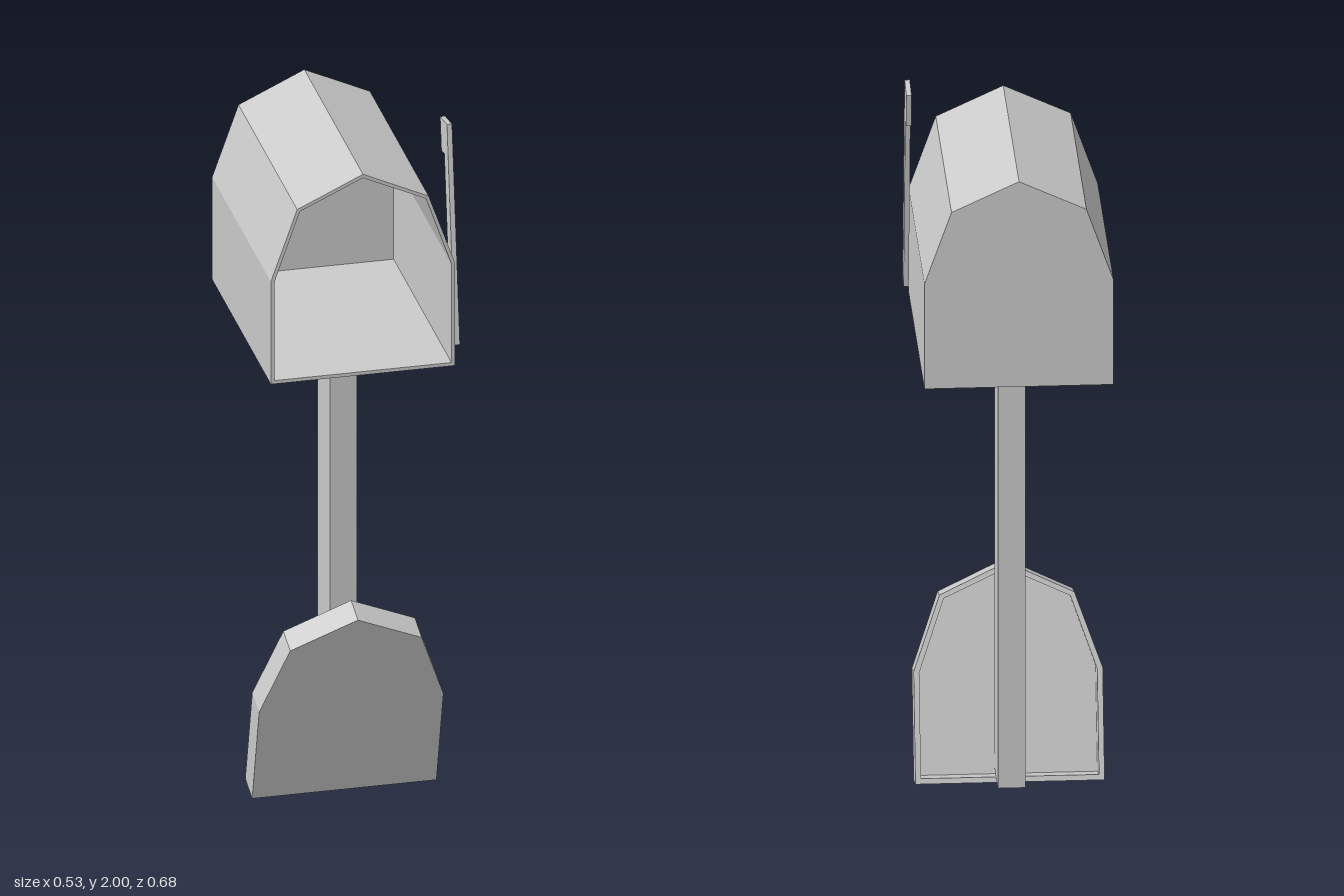
import * as THREE from 'three';
import { mergeGeometries } from 'three/addons/utils/BufferGeometryUtils.js';

const CENTER_X = -0.01;

// Arched mailbox outline standing on y = 0, inset by t
function outline(t, PathType) {
  const half = [
    [0.255 - t, t],
    [0.255 - t, 0.305 - 0.2 * t],
    [0.182 - 0.75 * t, 0.512 - 0.65 * t],
  ];
  const points = [
    ...half,
    [0, 0.597 - 1.1 * t],
    ...half.map(([x, y]) => [-x, y]).reverse(),
  ];
  return new PathType(points.map(([x, y]) => new THREE.Vector2(x, y)));
}

function extrude(shape, depth) {
  return new THREE.ExtrudeGeometry(shape, { depth, bevelEnabled: false });
}

// Hollow shell: closed at z = 0, open at z = depth
function shell(depth, wall, plate) {
  const ring = outline(0, THREE.Shape);
  ring.holes.push(outline(wall, THREE.Path));
  const walls = extrude(ring, depth - plate).translate(0, 0, plate);
  const end = extrude(outline(0, THREE.Shape), plate);
  return mergeGeometries([walls, end]);
}

export function createModel() {
  const model = new THREE.Group();
  model.name = 'mailbox';
  const material = new THREE.MeshStandardMaterial({ color: 0xcccccc, flatShading: true });

  function add(name, geometry, x, y, z) {
    const mesh = new THREE.Mesh(geometry, material);
    mesh.name = name;
    mesh.position.set(x, y, z);
    model.add(mesh);
    return mesh;
  }

  // Box, open at the front
  add('boxShell', shell(0.68, 0.01, 0.01), CENTER_X, 1.334, -0.34);

  // Post
  add('post', new THREE.BoxGeometry(0.075, 1.288, 0.144), CENTER_X, 0.681, 0.043);

  // Fallen lid, a shallow dish leaning forward with its hollow side to the post
  const lid = add('lid', shell(0.083, 0.015, 0.012).rotateY(Math.PI), CENTER_X, 0.002, 0.124);
  lid.rotation.x = 0.268;

  // Raised signal flag, drawn as (-z, y) and extruded along x
  const flag = new THREE.Shape([
    [-0.32, 1.385], [-0.275, 1.379], [-0.198, 1.899],
    [-0.164, 1.892], [-0.149, 1.987], [-0.229, 2.0],
  ].map(([x, y]) => new THREE.Vector2(x, y)));
  add('flag', extrude(flag, 0.014).rotateY(Math.PI / 2), 0.249, 0, 0);

  return model;
}
